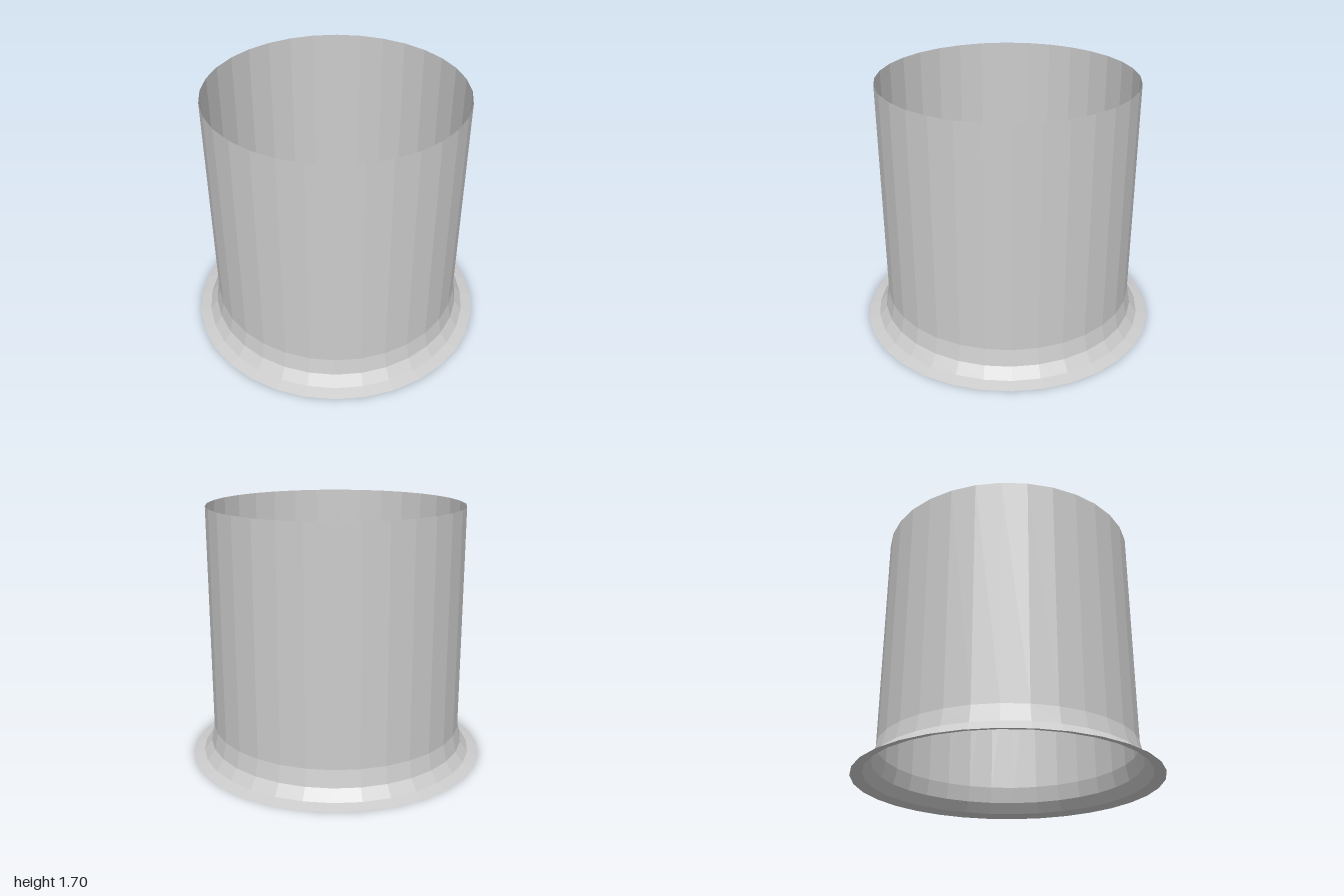
import * as THREE from 'three';

const SIDES = 32;

// Open lathed band through [radius, height] points, bottom to top
function band(name, profile, material) {
  const points = profile.map(([r, y]) => new THREE.Vector2(r, y));
  const mesh = new THREE.Mesh(new THREE.LatheGeometry(points, SIDES), material);
  mesh.name = name;
  return mesh;
}

export function createModel() {
  const group = new THREE.Group();
  group.name = 'flaredSleeve';
  const material = new THREE.MeshStandardMaterial({
    color: 0xcccccc, flatShading: true, side: THREE.DoubleSide,
  });

  // Thin straight wall, open at both ends
  group.add(band('tubeWall', [[0.85, 0.2], [0.85, 1.7]], material));
  // Concave flare widening toward the base
  group.add(band('flare', [[0.925, 0.02], [0.873, 0.09], [0.85, 0.2]], material));
  // Nearly flat outer rim resting on the ground
  group.add(band('baseRim', [[1, 0], [0.925, 0.02]], material));

  return group;
}
